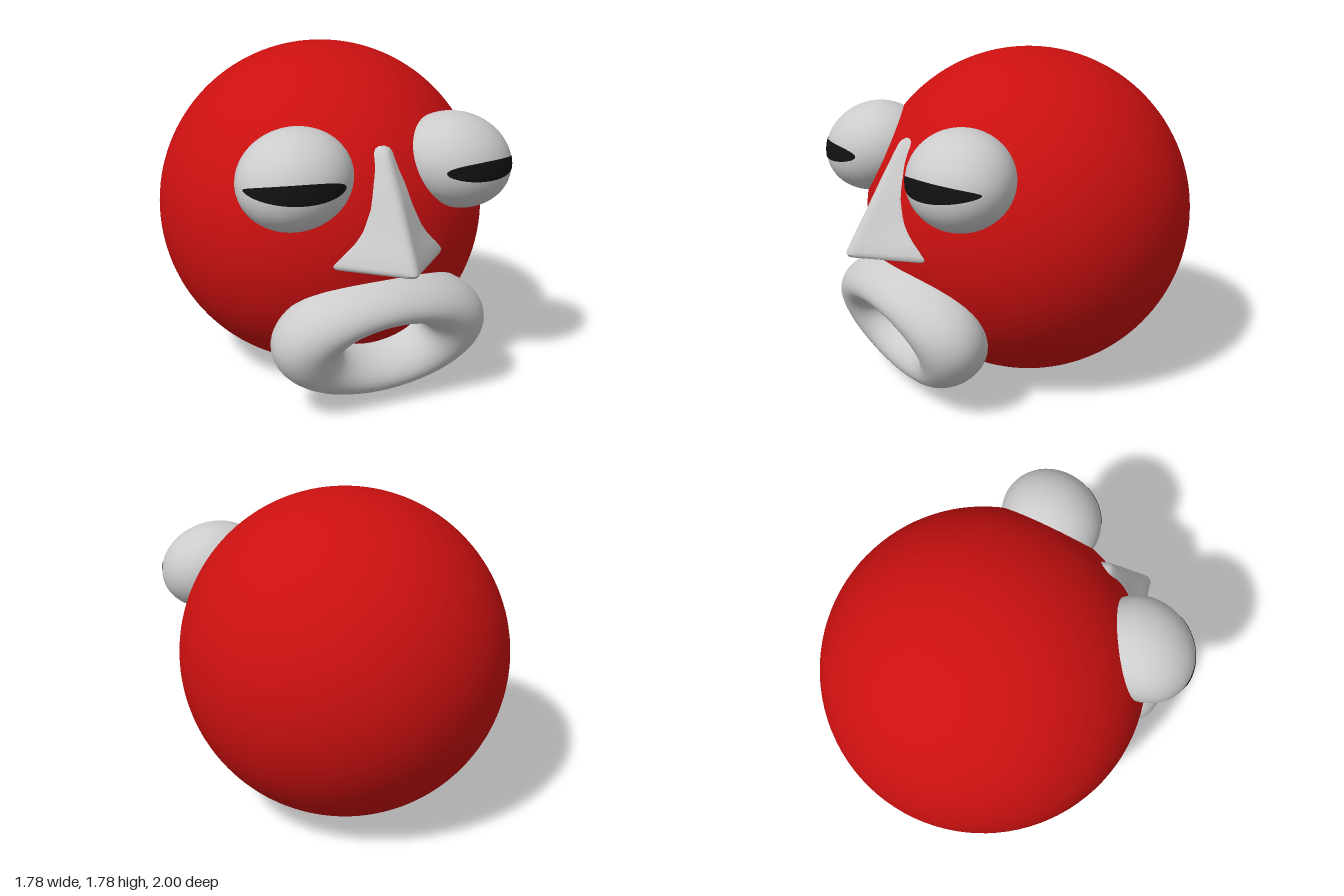
import * as THREE from 'three';
import { toCreasedNormals } from 'three/addons/utils/BufferGeometryUtils.js';

const grey = new THREE.MeshStandardMaterial({ color: 0xcccccc });
const red = new THREE.MeshStandardMaterial({ color: 0xcc1010 });
const black = new THREE.MeshStandardMaterial({ color: 0x111111, side: THREE.DoubleSide });

function part(name, geometry, material) {
  const mesh = new THREE.Mesh(geometry, material);
  mesh.name = name;
  return mesh;
}

// Eyeball: a rolled ellipsoid, leaning slightly back towards the top
const EYE = { x: 0.445, y: 1.255, z: 0.592, a: 0.293, b: 0.241, c: 0.262, roll: 0.22, lean: 0.1 };

function eyeball(side) {
  const g = new THREE.SphereGeometry(1, 48, 32);
  g.scale(EYE.a, EYE.b, EYE.c);
  g.rotateZ(-side * EYE.roll);
  g.applyMatrix4(new THREE.Matrix4().set(1, 0, 0, 0, 0, 1, 0, 0, 0, -EYE.lean, 1, 0, 0, 0, 0, 1));
  g.translate(side * EYE.x, EYE.y, EYE.z);
  return g;
}

// Depth of the eyeball front, slightly enlarged, at a given x and y
function eyeFront(side, x, y) {
  const dx = x - side * EYE.x, dy = y - EYE.y, k = 1.008;
  const cos = Math.cos(EYE.roll), sin = side * Math.sin(EYE.roll);
  const u = (dx * cos - dy * sin) / (EYE.a * k), v = (dx * sin + dy * cos) / (EYE.b * k);
  return EYE.z + EYE.c * k * Math.sqrt(Math.max(0, 1 - u * u - v * v)) - EYE.lean * dy;
}

// Pupil: an elliptical slit laid onto the eyeball
function pupil(side) {
  const g = new THREE.PlaneGeometry(2, 2, 64, 8);
  const p = g.attributes.position;
  for (let i = 0; i < p.count; i++) {
    const t = Math.sin(p.getX(i) * Math.PI / 2);
    const x = side * 0.5 + 0.23 * t;
    const y = 1.25 + 0.05 * p.getY(i) * Math.sqrt(Math.max(0, 1 - t * t));
    p.setXYZ(i, x, y, eyeFront(side, x, y));
  }
  g.computeVertexNormals();
  return g;
}

// Nose: stacked wedge sections [y, half width, ridge z, wing z]
function nose() {
  const rows = [
    [0.81, 0.29, 0.975, 0.72], [0.815, 0.305, 0.99, 0.715], [0.83, 0.315, 1.0, 0.712],
    [0.845, 0.308, 0.995, 0.715], [0.9, 0.243, 0.963, 0.748], [0.95, 0.195, 0.933, 0.757],
    [1.0, 0.16, 0.902, 0.76], [1.1, 0.115, 0.841, 0.75], [1.2, 0.088, 0.78, 0.72],
    [1.3, 0.077, 0.72, 0.66], [1.35, 0.07, 0.69, 0.63], [1.37, 0.055, 0.672, 0.62],
    [1.38, 0.03, 0.65, 0.61],
  ];
  const pos = [], idx = [];
  let n = 0;
  for (const [y, w, ridge, wing] of rows) {
    const r = Math.min(0.045, w * 0.5), slope = (ridge - wing) / w;
    const half = [[0, ridge]];
    // rounded ridge running into the straight flank
    for (const f of [0.33, 0.67, 1]) half.push([r * f, ridge - slope * r * f * f * 0.8]);
    half.push([w * 0.93, wing + slope * w * 0.07], [w * 0.985, wing], [w, wing - 0.02], [w * 0.9, wing - 0.2]);
    const left = half.slice(1).reverse().map(([x, z]) => [-x, z]);
    const section = [...left, ...half];
    n = section.length;
    for (const [x, z] of section) pos.push(x, y, z);
  }
  for (let i = 0; i < rows.length - 1; i++) {
    for (let j = 0; j < n; j++) {
      const a = i * n + j, b = i * n + (j + 1) % n;
      idx.push(a, b, b + n, a, b + n, a + n);
    }
  }
  const top = (rows.length - 1) * n;
  for (let j = 1; j < n - 1; j++) idx.push(0, j + 1, j, top, top + j, top + j + 1);
  const g = new THREE.BufferGeometry();
  g.setAttribute('position', new THREE.Float32BufferAttribute(pos, 3));
  g.setIndex(idx);
  return toCreasedNormals(g, 0.7);
}

export function createModel() {
  const model = new THREE.Group();
  model.name = 'face';

  const head = part('head', new THREE.SphereGeometry(0.889, 96, 64), red);
  head.position.set(0, 0.892, -0.111);
  model.add(head);

  for (const side of [1, -1]) {
    const eye = new THREE.Group();
    eye.name = side > 0 ? 'leftEye' : 'rightEye';
    eye.add(part('eyeball', eyeball(side), grey), part('pupil', pupil(side), black));
    model.add(eye);
  }

  model.add(part('nose', nose(), grey));

  // Lips: a flattened ring tipped forward at the top
  const ring = new THREE.TorusGeometry(0.41, 0.18, 32, 96);
  ring.scale(1, 0.585, 1);
  ring.rotateX(0.4);
  ring.translate(0, 0.408, 0.645);
  model.add(part('lips', ring, grey));

  return model;
}
